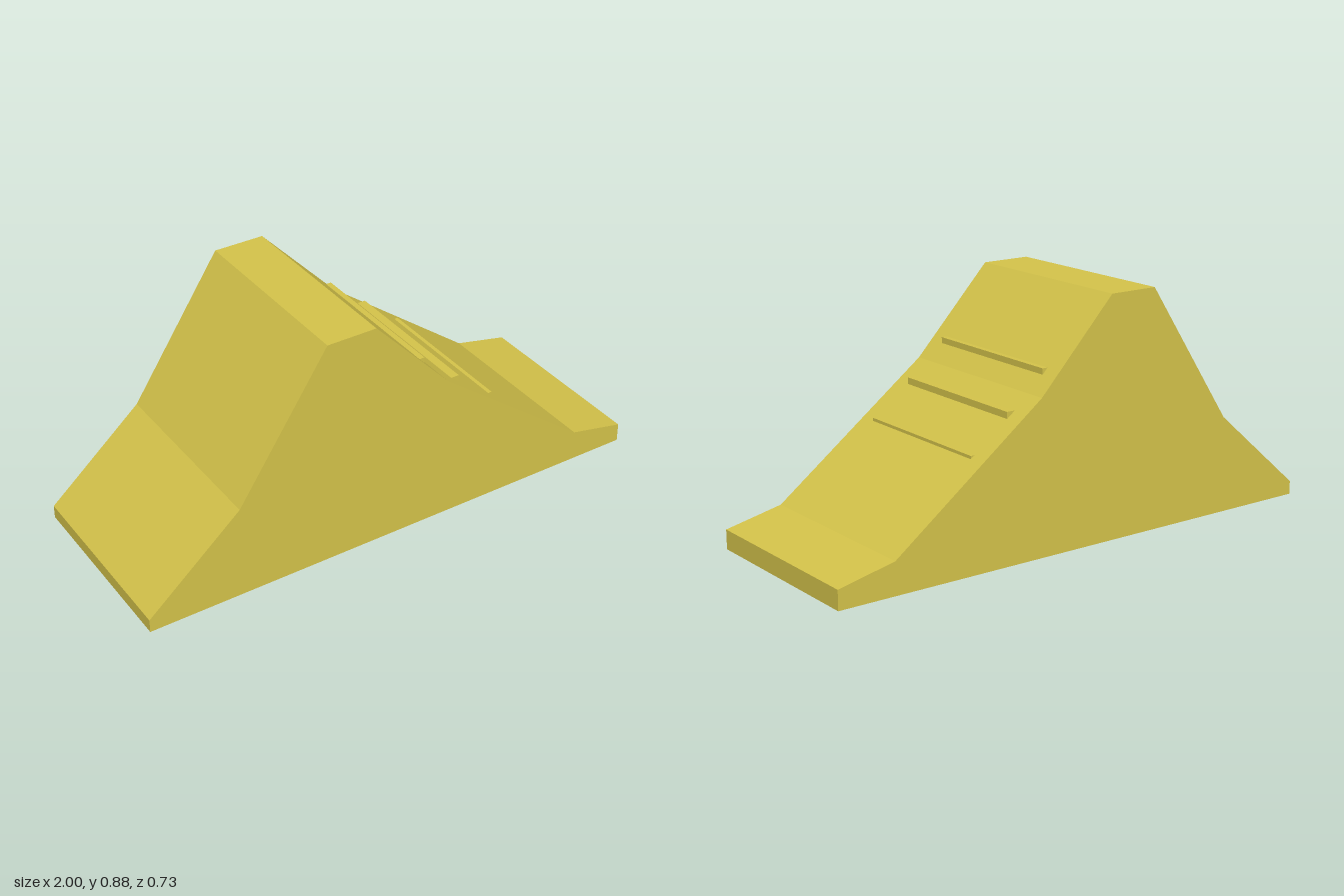
import * as THREE from 'three';

export function createModel() {
  const group = new THREE.Group();
  const yellow = new THREE.MeshStandardMaterial({ color: 0xd4c34a });
  yellow.name = 'mustard yellow';

  // Solid ramp: side outline extruded across the width
  const depth = 0.73;
  const outline = [
    [-1, 0], [1, 0], [1, 0.072], [0.783, 0.119], [0.19, 0.565],
    [-0.11, 0.882], [-0.3, 0.882], [-0.645, 0.36], [-1, 0.05],
  ].map(([x, y]) => new THREE.Vector2(x, y));
  const rampGeometry = new THREE.ExtrudeGeometry(new THREE.Shape(outline), { depth, bevelEnabled: false });
  rampGeometry.translate(0, 0, -depth / 2);
  const ramp = new THREE.Mesh(rampGeometry, yellow);
  ramp.name = 'ramp';
  group.add(ramp);

  // Grip bars part-sunk into the slope: outer x, top y
  const width = 0.06, height = 0.06;
  [[0.135, 0.645], [0.285, 0.518], [0.435, 0.392]].forEach(([x, y], i) => {
    const bar = new THREE.Mesh(new THREE.BoxGeometry(width, height, 0.595), yellow);
    bar.position.set(x - width / 2, y - height / 2, 0);
    bar.name = `gripBar${i + 1}`;
    group.add(bar);
  });

  return group;
}
